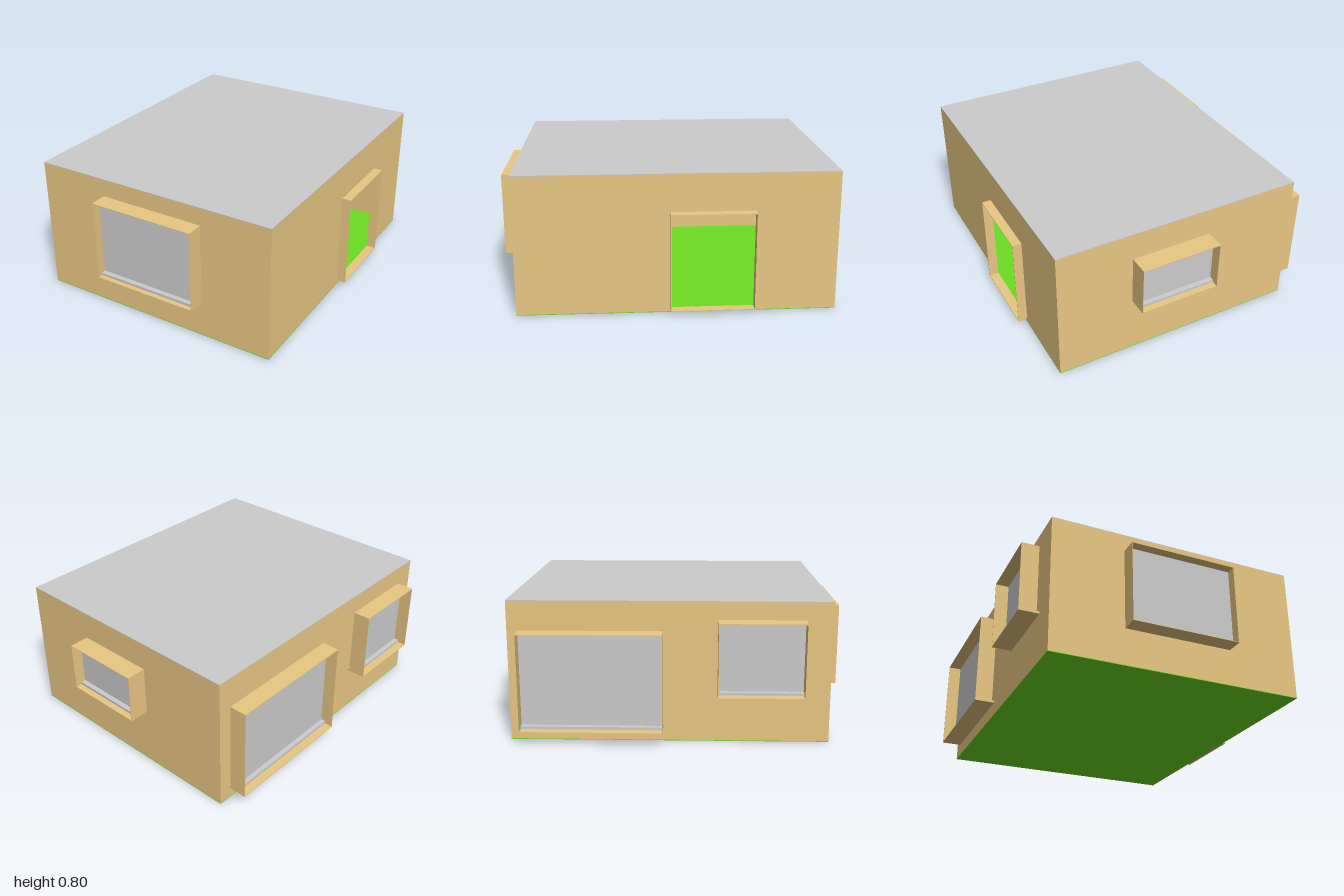
import * as THREE from 'three';

const T = 0.004; // sheet thickness
const [X0, X1, Z0, Z1, H] = [-0.71, 0.77, -0.885, 0.9, 0.8];
const mat = (color) => new THREE.MeshStandardMaterial({ color, side: THREE.DoubleSide });
const tan = mat(0xe8c783), grey = mat(0xcccccc), green = mat(0x6bdd22);

// Box given by its two opposite corners
function slab(name, material, x0, x1, y0, y1, z0, z1) {
  const mesh = new THREE.Mesh(new THREE.BoxGeometry(x1 - x0, y1 - y0, z1 - z0), material);
  mesh.position.set((x0 + x1) / 2, (y0 + y1) / 2, (z0 + z1) / 2);
  mesh.name = name;
  return mesh;
}

// Four thin boards around an opening; local +z points out of the wall
function frame(name, u0, u1, y0, y1, near, far) {
  const g = new THREE.Group();
  g.name = name;
  g.add(
    slab('frameTop', tan, u0, u1, y1 - T, y1, near, far),
    slab('frameBottom', tan, u0, u1, y0, y0 + T, near, far),
    slab('frameSideA', tan, u0, u0 + T, y0, y1, near, far),
    slab('frameSideB', tan, u1 - T, u1, y0, y1, near, far)
  );
  return g;
}

// Frame with a set-back pane and a small sill
function windowUnit(name, u0, u1, y0, y1, near, pane, far) {
  const g = frame(name, u0, u1, y0, y1, near, far);
  g.add(
    slab('pane', grey, u0 + T, u1 - T, y0 + T, y1 - T, pane - T, pane),
    slab('sill', grey, u0 + T, u1 - T, y0 + T, y0 + 0.02, pane, pane + 0.028)
  );
  if (near > 0) g.add(slab('sillBridge', tan, u0, u1, y0, y0 + 0.014, 0, near));
  return g;
}

function place(group, x, z, turn) {
  group.position.set(x, 0, z);
  group.rotation.y = turn;
  return group;
}

export function createModel() {
  const model = new THREE.Group();
  model.name = 'house';

  // Hollow shell
  model.add(
    slab('floor', green, X0, X1, 0, T, Z0, Z1),
    slab('roof', grey, X0, X1, H - T, H, Z0, Z1),
    slab('frontWall', tan, X0, X1, T, H - T, Z1 - T, Z1),
    slab('backWall', tan, X0, X1, T, H - T, Z0, Z0 + T),
    slab('rightWall', tan, X0, X0 + T, T, H - T, Z0 + T, Z1 - T)
  );

  // Wall with the doorway cut out
  const door = { u0: -0.045, u1: 0.425, y0: 0.025, y1: 0.585 };
  const rect = (P, a, b, c, d) => {
    const p = new P();
    p.moveTo(a, c).lineTo(b, c).lineTo(b, d).lineTo(a, d).closePath();
    return p;
  };
  const wall = rect(THREE.Shape, -Z1 + T, -Z0 - T, T, H - T);
  wall.holes.push(rect(THREE.Path, door.u0, door.u1, door.y0, door.y1));
  const leftWall = new THREE.Mesh(
    new THREE.ExtrudeGeometry(wall, { depth: T, bevelEnabled: false }), tan);
  leftWall.name = 'leftWall';
  model.add(place(leftWall, X1 - T, 0, Math.PI / 2));

  // Door frame and windows
  model.add(
    place(frame('doorFrame', door.u0, door.u1, door.y0, door.y1, 0, 0.054), X1, 0, Math.PI / 2),
    place(windowUnit('frontWindow', -0.285, 0.35, 0.217, 0.695, 0, 0.045, 0.1), 0, Z1, 0),
    place(windowUnit('backWindow', -0.325, 0.153, 0.345, 0.635, 0, 0.05, 0.115), 0, Z0, Math.PI),
    place(windowUnit('largeSideWindow', -0.82, -0.025, 0.08, 0.635, 0.014, 0.04, 0.116), X0, 0, -Math.PI / 2),
    place(windowUnit('smallSideWindow', 0.275, 0.75, 0.285, 0.7, 0.014, 0.04, 0.116), X0, 0, -Math.PI / 2)
  );
  return model;
}
